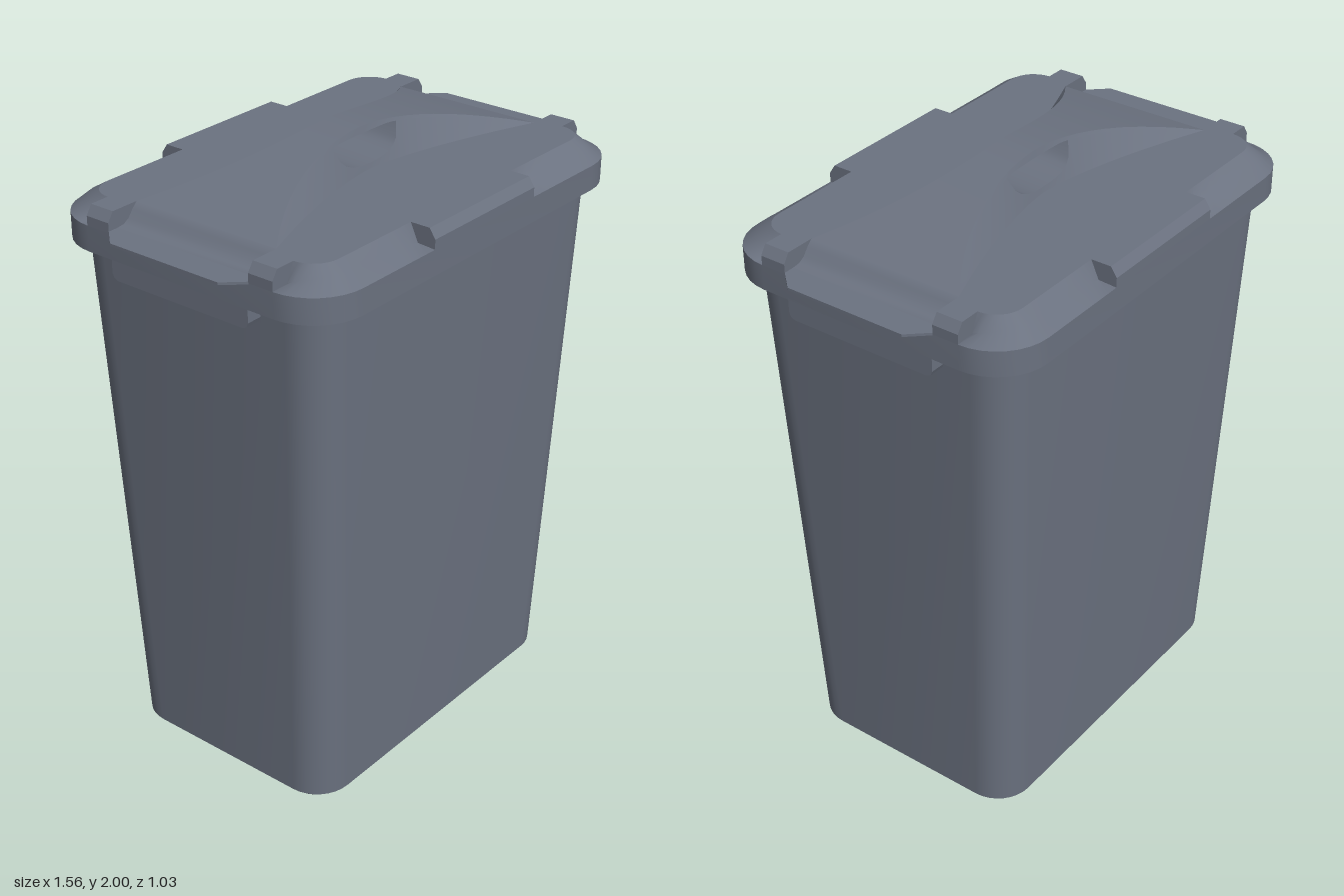
import * as THREE from 'three';
import { toCreasedNormals } from 'three/addons/utils/BufferGeometryUtils.js';

const V = (x, y, z) => new THREE.Vector3(x, y, z);

// Skin a surface over rows holding equal numbers of points
function loft(rows, crease = 0.6) {
  const n = rows[0].length, index = [];
  for (let i = 0; i < rows.length - 1; i++) {
    for (let j = 0; j < n - 1; j++) {
      const a = i * n + j, b = a + 1, d = a + n, c = d + 1;
      index.push(a, b, c, a, c, d);
    }
  }
  const g = new THREE.BufferGeometry().setFromPoints(rows.flat());
  g.setIndex(index);
  return toCreasedNormals(g, crease);
}

// Rounded rectangle as [x, z] points, half sizes hx and hz
function roundRect(hx, hz, r, seg = 8) {
  const pts = [];
  [[1, 1], [-1, 1], [-1, -1], [1, -1]].forEach(([sx, sz], q) => {
    for (let k = 0; k <= seg; k++) {
      const a = (q + k / seg) * Math.PI / 2;
      pts.push([sx * (hx - r) + r * Math.cos(a), sz * (hz - r) + r * Math.sin(a)]);
    }
  });
  return pts;
}

// Flat slab in plan, from height y0 to y1
function slab(pts, y0, y1, steps = 1) {
  const shape = new THREE.Shape(pts.map(([x, z]) => new THREE.Vector2(x, z)));
  const g = new THREE.ExtrudeGeometry(shape, { depth: y1 - y0, bevelEnabled: false, steps });
  return g.rotateX(-Math.PI / 2).translate(0, y0, 0);
}

export function createModel() {
  const group = new THREE.Group();
  const grey = new THREE.MeshStandardMaterial({ color: 0x6b7280, side: THREE.DoubleSide });
  grey.name = 'slate grey plastic';
  const add = (name, geometry) => {
    const m = new THREE.Mesh(geometry, grey);
    m.name = name;
    group.add(m);
    return m;
  };

  // Tapered bin body with a chamfered foot
  const ring = (hx, hz, r, y) => {
    const p = roundRect(hx, hz, r).map(([x, z]) => V(x, y, -z));
    return [...p, p[0].clone()];
  };
  add('body', loft([
    ring(0.565, 0.365, 0.1, 0), ring(0.6, 0.4, 0.12, 0.035), ring(0.676, 0.462, 0.12, 1.75),
  ]));
  add('bodyBase', slab(roundRect(0.565, 0.365, 0.1), 0, 0.004));

  // Lid rim
  add('lidRim', toCreasedNormals(slab(roundRect(0.725, 0.515, 0.17), 1.74, 1.82), 0.6));

  // Outline of one lid corner, moved inward by d
  const corner = (d) => {
    const pts = [0.24, 0.28, 0.32, 0.37, 0.43, 0.5].map((x) => [x, 0.515 - d]);
    for (let k = 0; k <= 8; k++) {
      const a = (1 - k / 8) * Math.PI / 2;
      pts.push([0.555 + (0.17 - d) * Math.cos(a), 0.345 + (0.17 - d) * Math.sin(a)]);
    }
    return pts;
  };

  // Raised lid top: full width at the middle tabs and side ears
  const quarter = [[0.24, 0.515], ...corner(0.085), [0.725, 0.345], [0.725, 0.26], [0.61, 0.26]];
  const flip = (pts, sx, sz) => pts.map(([x, z]) => [x * sx, z * sz]);
  const back = [...quarter].reverse();
  const top = slab([
    ...quarter, ...flip(back, 1, -1), ...flip(quarter, -1, -1), ...flip(back, -1, 1),
  ], 1.82, 1.88, 2);
  const p = top.attributes.position;
  for (let i = 0; i < p.count; i++) {
    if (p.getY(i) > 1.87) {
      p.setX(i, THREE.MathUtils.clamp(p.getX(i), -0.705, 0.705));
      p.setZ(i, THREE.MathUtils.clamp(p.getZ(i), -0.495, 0.495));
    }
  }
  add('lidTop', toCreasedNormals(top, 0.5));

  // Sloped lid corners, stepped where they meet the tabs and ears
  const outer = corner(0), inner = corner(0.085);
  const middle = outer.map(([x, z], i) => {
    const s = Math.sin(Math.PI * i / (outer.length - 1)) ** 0.7;
    const f = 0.7 - 0.15 * s;
    return V(x + (inner[i][0] - x) * f, 1.824 + 0.034 * s, z + (inner[i][1] - z) * f);
  });
  const cornerRows = [
    outer.map(([x, z]) => V(x, 1.82, z)), middle, inner.map(([x, z]) => V(x, 1.88, z)),
  ];
  for (const sx of [1, -1]) {
    for (const sz of [1, -1]) {
      const rows = cornerRows.map((row) => {
        const r = row.map((v) => V(v.x * sx, v.y, v.z * sz));
        return sx * sz < 0 ? r.reverse() : r;
      });
      add('lidCorner', loft(rows, 0.9));
    }
  }

  // Arched grip with a finger hole, described by columns along x
  const half = [0, 0.04, 0.08, 0.11, 0.13, 0.15, 0.2, 0.25, 0.3, 0.36, 0.42, 0.48, 0.54, 0.61];
  const xs = [...half.slice(1).reverse().map((x) => -x), ...half];
  const holeFloor = [[0, 1.895], [0.04, 1.897], [0.08, 1.905], [0.11, 1.918], [0.13, 1.935]];
  const cols = xs.map((x) => {
    const a = Math.abs(x), r = a / 0.61;
    const h = 0.12 * (1 - r ** 1.6);
    const wTop = 0.06 + 0.2 * r ** 2.2, wBase = 0.1 + 0.16 * r ** 1.5;
    const hi = Math.min(1.98, 1.88 + 0.9 * h);
    const floor = holeFloor.find(([fx]) => fx === a);
    const at = (y) => V(x, y, h > 1e-6 ? wBase + (wTop - wBase) * (y - 1.88) / h : wTop);
    return { a, base: at(1.88), lo: at(floor ? floor[1] : hi), hi: at(hi), top: at(1.88 + h) };
  });
  const row = (key, side, list = cols) => list.map((c) => V(c[key].x, c[key].y, c[key].z * side));
  for (const [from, to] of [['base', 'lo'], ['hi', 'top']]) {
    add('gripFront', loft([row(from, 1), row(to, 1)]));
    add('gripBack', loft([row(to, -1), row(from, -1)]));
  }
  add('gripTop', loft([row('top', 1), row('top', -1)]));
  const holeCols = cols.filter((c) => c.a <= 0.15);
  add('gripHoleFloor', loft([row('lo', 1, holeCols), row('lo', -1, holeCols)]));
  add('gripHoleRoof', loft([row('hi', -1, holeCols), row('hi', 1, holeCols)]));

  // Each end: ramp down from the grip, thin flap and rim skirt
  const ramp = new THREE.Shape([
    [0.6, 1.81], [0.7, 1.81], [0.69, 1.825], [0.665, 1.828], [0.645, 1.84], [0.628, 1.862],
    [0.61, 1.88], [0.6, 1.88],
  ].map(([x, y]) => new THREE.Vector2(x, y)));
  const rampGeo = toCreasedNormals(
    new THREE.ExtrudeGeometry(ramp, { depth: 0.52, bevelEnabled: false }).translate(0, 0, -0.26), 0.9);
  const flapGeo = slab([
    [0.62, -0.26], [0.725, -0.26], [0.78, -0.2], [0.78, 0.2], [0.725, 0.26], [0.62, 0.26],
  ], 1.817, 1.825);
  const skirt = new THREE.Shape([
    [-0.255, 1.745], [-0.255, 1.7], [-0.249, 1.686], [-0.235, 1.68],
    [0.235, 1.68], [0.249, 1.686], [0.255, 1.7], [0.255, 1.745],
  ].map(([z, y]) => new THREE.Vector2(z, y)));
  const skirtGeo = new THREE.ExtrudeGeometry(skirt, { depth: 0.06, bevelEnabled: false })
    .rotateY(Math.PI / 2).translate(0.665, 0, 0);
  for (const turn of [0, Math.PI]) {
    add('gripRamp', rampGeo).rotation.y = turn;
    add('sideFlap', flapGeo).rotation.y = turn;
    add('rimSkirt', skirtGeo).rotation.y = turn;
  }
  return group;
}
